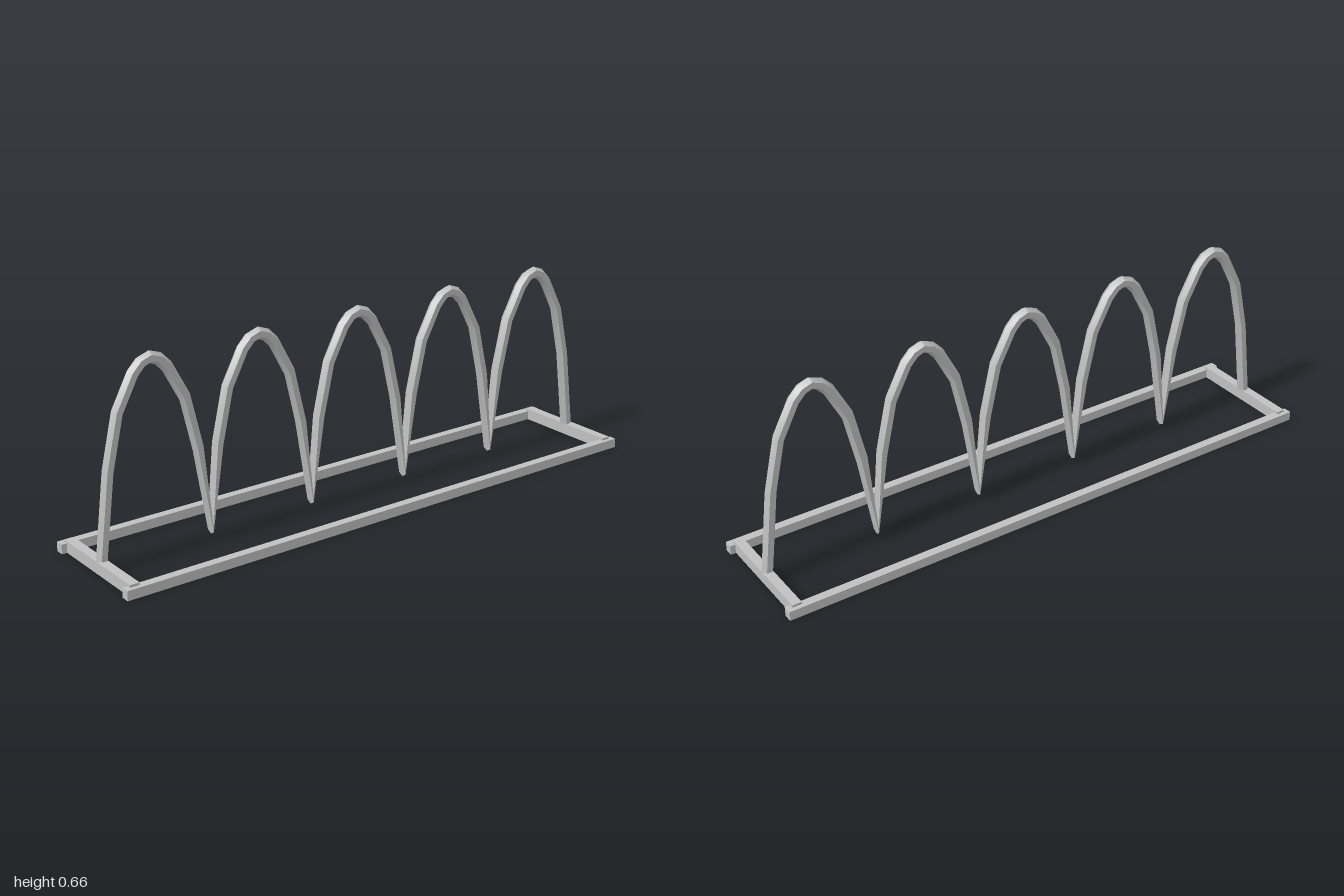
import * as THREE from 'three';
import { toCreasedNormals } from 'three/addons/utils/BufferGeometryUtils.js';

const ARCHES = 5, PITCH = 0.385, RADIUS = 0.02, SIDES = 6;
// Right half of one arch, from crown to foot: [z offset, height]
const HALF = [[0, 0.64], [0.03, 0.629], [0.058, 0.6], [0.116, 0.491], [0.157, 0.315], [PITCH / 2, 0.04]];

// Centre line of the whole hoop rail, running from back to front
function hoopPath() {
  const arch = [...HALF.slice(1).reverse().map(([z, y]) => [-z, y]), ...HALF];
  const path = [];
  for (let i = 0; i < ARCHES; i++) {
    const zc = (i - (ARCHES - 1) / 2) * PITCH;
    arch.slice(i ? 1 : 0).forEach(([z, y]) => path.push(new THREE.Vector2(zc + z, y)));
  }
  return path;
}

// Hexagonal tube swept along the path, with the section turned to each mean tangent
function hoopGeometry() {
  const path = hoopPath(), last = path.length - 1;
  const pos = [], idx = [];
  path.forEach((p, i) => {
    let t;
    if (i === 0) t = new THREE.Vector2(0, 1);
    else if (i === last) t = new THREE.Vector2(0, -1);
    else {
      const a = p.clone().sub(path[i - 1]).normalize();
      t = path[i + 1].clone().sub(p).normalize().add(a).normalize();
    }
    for (let j = 0; j < SIDES; j++) {
      const ang = (j / SIDES) * Math.PI * 2;
      const out = Math.cos(ang) * RADIUS;
      pos.push(Math.sin(ang) * RADIUS, p.y + t.x * out, p.x - t.y * out);
      if (i < last) {
        const k = (j + 1) % SIDES, r = i * SIDES;
        const a = r + j, b = r + k, c = a + SIDES, d = b + SIDES;
        idx.push(a, c, b, b, c, d);
      }
    }
  });
  // End caps
  for (let j = 1; j < SIDES - 1; j++) {
    const e = last * SIDES;
    idx.push(0, j, j + 1, e, e + j + 1, e + j);
  }
  const geo = new THREE.BufferGeometry();
  geo.setAttribute('position', new THREE.Float32BufferAttribute(pos, 3));
  geo.setIndex(idx);
  return toCreasedNormals(geo, 0.5);
}

export function createModel() {
  const group = new THREE.Group();
  group.name = 'bikeRack';
  const steel = new THREE.MeshStandardMaterial({ color: 0xc0c0c0 });
  steel.name = 'grey steel';

  const add = (name, geo, x = 0, y = 0, z = 0) => {
    const mesh = new THREE.Mesh(geo, steel);
    mesh.name = name;
    mesh.position.set(x, y, z);
    group.add(mesh);
  };

  // Base frame: two long rails and two cross bars
  for (const s of [1, -1]) {
    add(s > 0 ? 'leftRail' : 'rightRail', new THREE.BoxGeometry(0.03, 0.032, 2), s * 0.2, 0.016, 0);
    add(s > 0 ? 'frontBar' : 'backBar', new THREE.BoxGeometry(0.4, 0.04, 0.032), 0, 0.02, s * 0.966);
  }

  // Continuous rail of wheel hoops
  add('hoops', hoopGeometry());
  return group;
}
